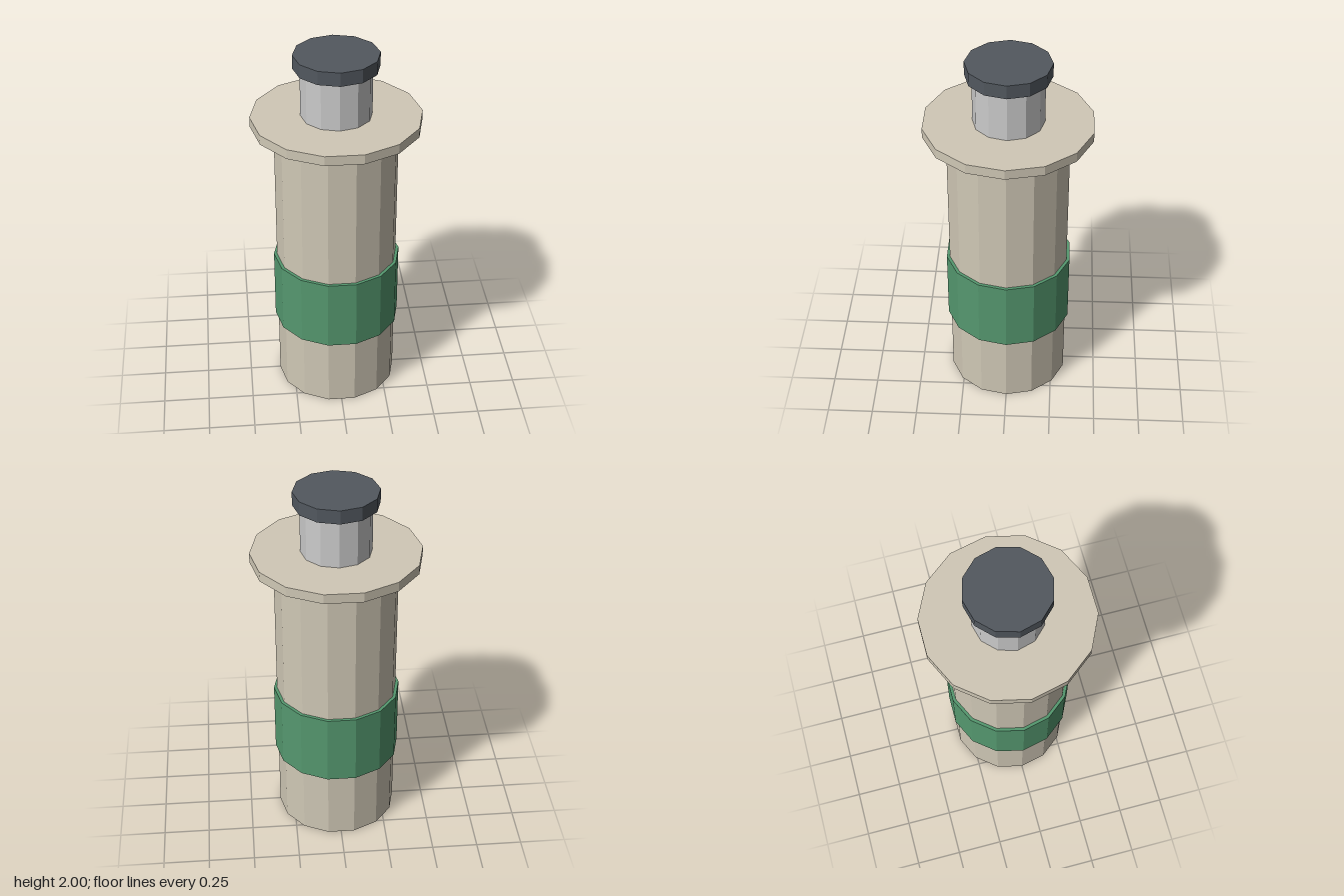
import * as THREE from 'three';

export function createModel() {
  const model = new THREE.Group();
  model.name = 'plungerCylinder';

  const material = (color) => new THREE.MeshStandardMaterial({ color, flatShading: true });
  const beige = material(0xd0c8b6);
  const green = material(0x55986f);
  const grey = material(0xcccccc);
  const dark = material(0x52585f);

  // Upright faceted cylinder between two heights, with a corner on the x axis
  function addCylinder(name, radius, bottom, top, sides, mat) {
    const geometry = new THREE.CylinderGeometry(radius, radius, top - bottom, sides);
    geometry.rotateY(Math.PI / 2);
    geometry.translate(0, (bottom + top) / 2, 0);
    const mesh = new THREE.Mesh(geometry, mat);
    mesh.name = name;
    model.add(mesh);
  }

  addCylinder('barrel', 0.33, 0, 1.605, 14, beige);
  addCylinder('labelBand', 0.347, 0.4, 0.8, 14, green);
  addCylinder('flange', 0.453, 1.603, 1.656, 14, beige);
  addCylinder('plungerRod', 0.189, 1.65, 1.93, 12, grey);
  addCylinder('plungerCap', 0.226, 1.925, 2, 12, dark);

  return model;
}
